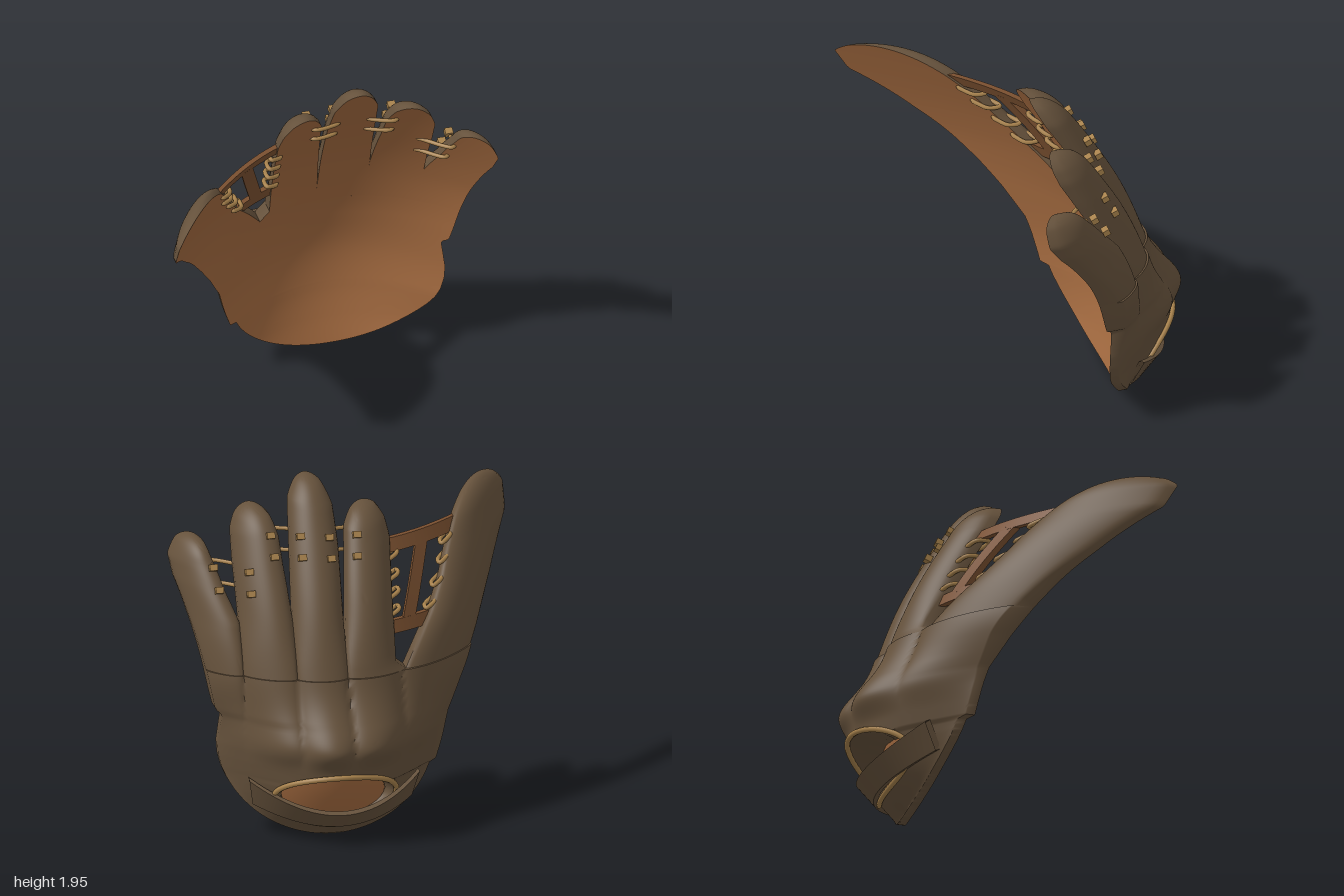
import * as THREE from 'three';
import { toCreasedNormals } from 'three/addons/utils/BufferGeometryUtils.js';

const mat = (color) => new THREE.MeshStandardMaterial({ color, roughness: 0.8, side: THREE.DoubleSide });
const palmLeather = mat(0xa0683e), backLeather = mat(0x66523c), webLeather = mat(0x7a5030), lace = mat(0xa8824c);
const smooth = THREE.MathUtils.smoothstep, lerp = THREE.MathUtils.lerp, clamp = THREE.MathUtils.clamp;

// Cupped catching surface: a centre-line profile plus a parabola across x, steeper near the heel
const centre = new THREE.CubicInterpolant(
  [0, 0.15, 0.3, 0.55, 0.8, 1.0, 1.3, 1.6, 1.95],
  [-0.38, -0.44, -0.485, -0.515, -0.475, -0.415, -0.3, -0.14, 0.08], 1);
function front(x, y) {
  const steep = (1 - smooth(y, 0.55, 1.15)) * smooth(y, 0.05, 0.35) * (x > 0.2 ? 0.2 : 0.09);
  return centre.evaluate(y)[0] + (0.655 + steep) * (x - 0.2) ** 2;
}

// Thickness of a padded finger; s runs -1..1 across it
function fingerPad(s, y, T = 0.145) {
  const e = 0.05 + 0.05 * (1 - smooth(y, 0.93, 1.3));
  return e + (T - e) * Math.max(0, 1 - s * s) ** 0.6;
}

// Thickness of the palm: a broad bell that breaks into finger ridges, with a hand opening
const heel = new THREE.CubicInterpolant([0, 0.08, 0.17, 0.3, 0.45, 0.58, 0.75, 0.93],
  [0.04, 0.12, 0.18, 0.235, 0.24, 0.27, 0.23, 0.165], 1);
const zones = [-0.68, -0.2, 0.12, 0.4, 0.68, 0.88];
const hole = { x: 0.19, y: 0.255, rx: 0.34, ry: 0.16 };
function palmBell(s, y, x) {
  const hump = Math.max(0, 1 - s * s) ** lerp(1.6, 1.1, smooth(y, 0.3, 0.6));
  let k = 0;
  while (k < 4 && x > zones[k + 1]) k++;
  const local = clamp((2 * (x - zones[k])) / (zones[k + 1] - zones[k]) - 1, -1, 1);
  const knuckle = 0.045 * hump * smooth(y, 0.42, 0.58) * (0.6 - local * local);
  const bell = 0.05 + (heel.evaluate(y)[0] - 0.05) * hump + knuckle;
  return lerp(bell, fingerPad(local, y) + 0.012, smooth(y, 0.52, 0.93));
}
function palmPad(s, y, x) {
  const r = Math.hypot((x - hole.x) / hole.rx, (y - hole.y) / hole.ry);
  return lerp(0.03, palmBell(s, y, x), smooth(r, 0.85, 1.02));
}

// Mesh from a grid of points
function gridMesh(name, rows, material, flip, crease = 0.9) {
  const n = rows[0].length, index = [];
  for (let i = 0; i < rows.length - 1; i++) for (let j = 0; j < n - 1; j++) {
    const a = i * n + j, b = a + 1, c = a + n, d = c + 1;
    index.push(...(flip ? [a, b, c, b, d, c] : [a, c, b, b, c, d]));
  }
  const g = new THREE.BufferGeometry();
  g.setAttribute('position', new THREE.Float32BufferAttribute(rows.flat(2), 3));
  g.setIndex(index);
  const mesh = new THREE.Mesh(toCreasedNormals(g, crease), material);
  mesh.name = name;
  return mesh;
}

// Padded panel between two outlines of [y, x] points listed from its tip
function panel(name, left, right, pad, nRows, nCols) {
  const tip = left[0][0], base = left[left.length - 1][0];
  const toQ = (y) => Math.sqrt(Math.abs((y - tip) / (base - tip)));
  const edge = (pts) => new THREE.LinearInterpolant(pts.map((p) => toQ(p[0])), pts.map((p) => p[1]), 1);
  const L = edge(left), R = edge(right), face = [], back = [];
  for (let i = 0; i <= nRows; i++) {
    const q = i / nRows, y = tip + (base - tip) * q * q;
    const x0 = L.evaluate(q)[0], x1 = R.evaluate(q)[0], f = [], b = [];
    for (let j = 0; j <= nCols; j++) {
      const s = -Math.cos((Math.PI * j) / nCols) * 0.5 + (2 * j / nCols - 1) * 0.5;
      const x = lerp(x0, x1, (s + 1) / 2), z = front(x, y);
      f.push([x, y, z]);
      b.push([x, y, z - pad(s, y, x, q)]);
    }
    face.push(f);
    back.push([f[0], ...b, f[nCols]]);
  }
  const cap = (f) => [f[0], ...f, f[nCols]];
  back.unshift(cap(face[0]));
  back.push(cap(face[nRows]));
  const group = new THREE.Group();
  group.name = name;
  const up = base > tip;
  group.add(gridMesh(name + 'Face', face, palmLeather, up), gridMesh(name + 'Back', back, backLeather, !up));
  return group;
}

function tube(name, pts, r, closed = false) {
  const curve = new THREE.CatmullRomCurve3(pts.map((p) => new THREE.Vector3(...p)), closed);
  const mesh = new THREE.Mesh(new THREE.TubeGeometry(curve, pts.length * 6, r, 8, closed), lace);
  mesh.name = name;
  return mesh;
}

// Flat bar following the cup between two [x, y] ends, with half-widths along x and y
function webBar(name, a, b, hx, hy) {
  const rows = [];
  for (let i = -1; i <= 11; i++) {
    const t = clamp(i / 10, 0, 1), k = i < 0 || i > 10 ? 0 : 1;
    const x = lerp(a[0], b[0], t), y = lerp(a[1], b[1], t);
    rows.push([[-1, 0], [1, 0], [1, 1], [-1, 1], [-1, 0]].map(([s, d]) => {
      const px = x + s * hx * k, py = y + s * hy * k;
      return [px, py, front(px, py) - 0.015 - d * 0.04];
    }));
  }
  return gridMesh(name, rows, webLeather, true, 0.5);
}

export function createModel() {
  const glove = new THREE.Group();
  glove.name = 'fieldingGlove';

  // Palm with an elliptical heel
  const heelArc = (side, rx, yEnd, n) => Array.from({ length: n + 1 }, (_, i) => {
    const y = yEnd * (i / n) ** 2;
    return [y, 0.19 + side * rx * Math.sqrt(1 - ((y - 0.51) / 0.51) ** 2)];
  });
  glove.add(panel('palm',
    [...heelArc(-1, 0.615, 0.335, 12), [0.345, -0.43], [0.46, -0.47], [0.61, -0.51], [0.78, -0.59], [0.93, -0.67]],
    [...heelArc(1, 0.615, 0.6, 14), [0.68, 0.785], [0.71, 0.82], [0.8, 0.84], [0.93, 0.865]], palmPad, 100, 100));

  // Thumb and fingers
  const digits = {
    thumb: [[[1.715, -0.82], [1.68, -0.94], [1.62, -1], [1.48, -1], [1.24, -0.85], [1, -0.71], [0.93, -0.67]],
      [[1.715, -0.82], [1.68, -0.71], [1.59, -0.62], [1.52, -0.58], [1.32, -0.49], [1.18, -0.41], [0.93, -0.23]]],
    indexFinger: [[[1.79, -0.06], [1.77, -0.13], [1.7, -0.18], [1.6, -0.2], [1.2, -0.18], [0.97, -0.17], [0.93, -0.23]],
      [[1.79, -0.06], [1.76, 0.01], [1.68, 0.06], [1.55, 0.075], [1.06, 0.12], [0.93, 0.12]]],
    middleFinger: [[[1.95, 0.25], [1.91, 0.17], [1.8, 0.12], [1.6, 0.11], [1.06, 0.12], [0.93, 0.12]],
      [[1.95, 0.25], [1.92, 0.31], [1.83, 0.36], [1.65, 0.375], [1.23, 0.4], [0.93, 0.4]]],
    ringFinger: [[[1.8, 0.56], [1.75, 0.47], [1.65, 0.435], [1.5, 0.425], [1.23, 0.4], [0.93, 0.4]],
      [[1.8, 0.56], [1.74, 0.65], [1.66, 0.68], [1.5, 0.685], [1.2, 0.68], [0.93, 0.68]]],
    littleFinger: [[[1.61, 0.88], [1.58, 0.82], [1.5, 0.79], [1.35, 0.74], [1.2, 0.68], [0.93, 0.68]],
      [[1.61, 0.88], [1.58, 0.95], [1.48, 1], [1.38, 0.985], [1.2, 0.93], [1, 0.88], [0.93, 0.865]]],
  };
  for (const [name, [l, r]] of Object.entries(digits)) {
    const pad = (s, y, x, q) => 0.03 + (fingerPad(s, y) - 0.03) * Math.sin(Math.min(1, q / 0.4) * Math.PI / 2);
    glove.add(panel(name, l, r, pad, 36, 20));
  }

  // Web between thumb and index finger, lashed to both edges
  glove.add(
    webBar('webTopBar', [-0.64, 1.555], [-0.17, 1.555], 0, 0.035),
    webBar('webLowerBar', [-0.43, 1.145], [-0.15, 1.145], 0, 0.035),
    webBar('webDiagonal', [-0.4, 1.54], [-0.275, 1.16], 0.04, 0));
  const wraps = [[-0.56, 1.5], [-0.535, 1.41], [-0.48, 1.31], [-0.425, 1.21],
    [-0.2, 1.5], [-0.195, 1.4], [-0.19, 1.31], [-0.185, 1.22]];
  for (const [x, y] of wraps) {
    const w = 0.032;
    const at = (k, d) => [x + k * w, y - k * 0.013, front(x + k * w, y - k * 0.013) + d];
    glove.add(tube('webLace', [at(-1, 0.005), at(0, 0.015), at(1, 0.005), at(1, -0.06), at(0, -0.07), at(-1, -0.06)], 0.013, true));
  }

  // Laces joining neighbouring fingers, knotted at the back
  const ties = [[0.01, 0.17, 1.66], [0.02, 0.17, 1.555], [0.33, 0.49, 1.67], [0.33, 0.48, 1.565],
    [0.62, 0.8, 1.48], [0.62, 0.78, 1.37]];
  for (const [x0, x1, y] of ties) {
    const f0 = front(x0, y), f1 = front(x1, y);
    glove.add(tube('fingerLace', [[x0, y, f0 - 0.1], [x0, y, f0 - 0.01], [x0 + 0.02, y, f0 + 0.008],
      [x1 - 0.02, y, f1 + 0.008], [x1, y, f1 - 0.01], [x1, y, f1 - 0.1]], 0.012));
    for (const [x, f] of [[x0, f0], [x1, f1]]) {
      const knot = new THREE.Mesh(new THREE.BoxGeometry(0.045, 0.036, 0.04), lace);
      knot.name = 'laceKnot';
      knot.position.set(x, y, f - 0.14);
      knot.rotation.x = 0.4;
      glove.add(knot);
    }
  }

  // Hand opening: lining and rim cord
  const lining = Array.from({ length: 7 }, (_, i) => Array.from({ length: 33 }, (_, j) => {
    const a = (j / 32) * Math.PI * 2, r = (i / 6) * 0.86;
    const x = hole.x + hole.rx * r * Math.cos(a), y = hole.y + hole.ry * r * Math.sin(a);
    return [x, y, front(x, y) - 0.04];
  }));
  const rim = Array.from({ length: 24 }, (_, j) => {
    const a = (j / 24) * Math.PI * 2;
    const x = hole.x + hole.rx * 1.02 * Math.cos(a), y = hole.y + hole.ry * 1.02 * Math.sin(a);
    const half = 0.615 * Math.sqrt(1 - ((y - 0.51) / 0.51) ** 2);
    return [x, y, front(x, y) - palmBell((x - 0.19) / half, y, x) - 0.008];
  });
  glove.add(gridMesh('openingLining', lining, palmLeather, false), tube('openingCord', rim, 0.016, true));

  // Wrist strap arching across the opening
  const strap = [];
  for (let i = -12; i <= 12; i++) {
    const a = i / 12, b = a * a;
    const hi = [0.18 + 0.48 * a, 0.185 + 0.15 * b, -0.7 + 0.25 * b];
    const lo = [0.18 + 0.45 * a, 0.09 + 0.09 * b, -0.6 + 0.22 * b];
    const inner = (p) => [p[0], p[1] + 0.015, p[2] + 0.03];
    strap.push([lo, hi, inner(hi), inner(lo), lo]);
  }
  glove.add(gridMesh('wristStrap', strap, backLeather, false, 0.6));
  return glove;
}
